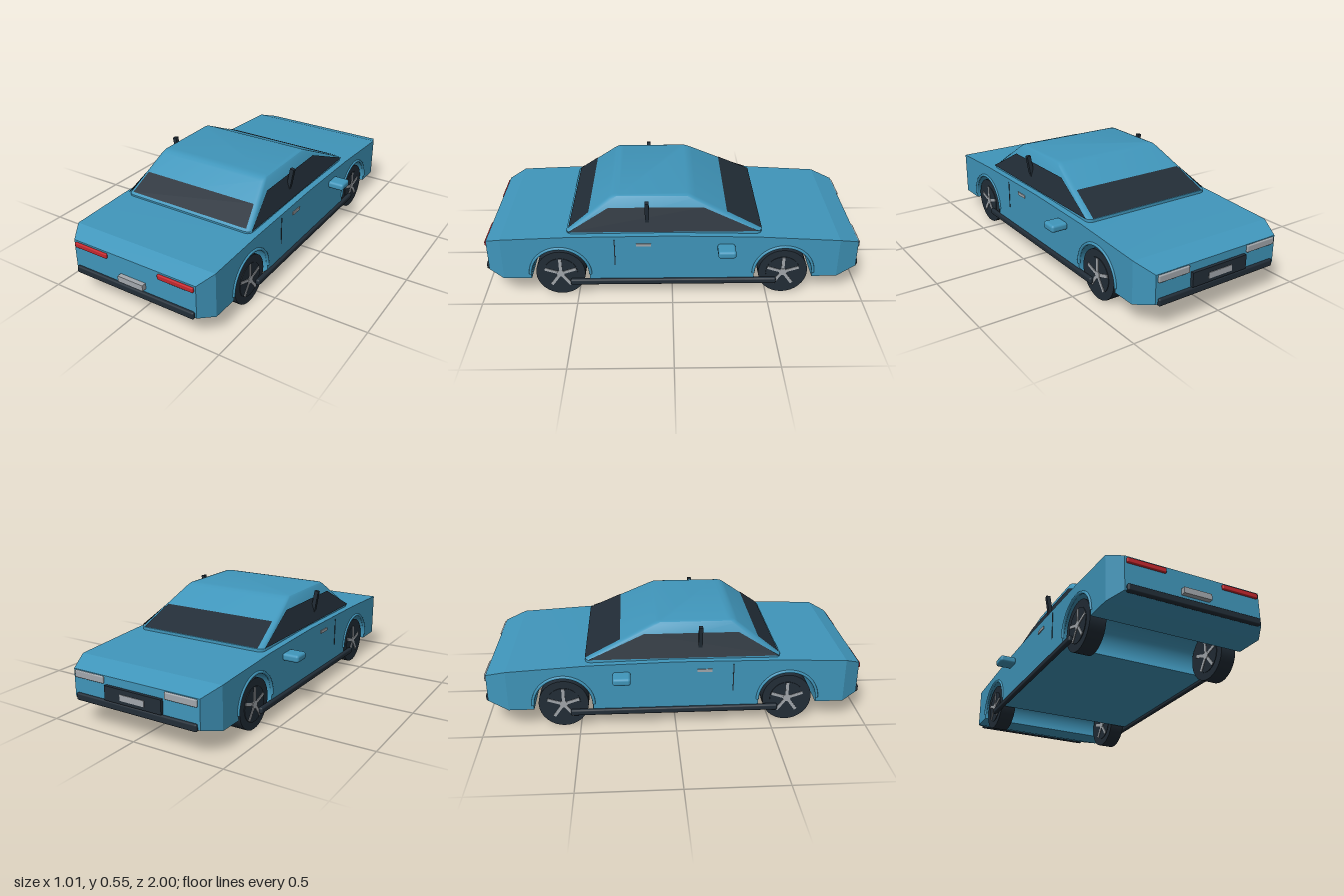
import * as THREE from 'three';
import { toCreasedNormals } from 'three/addons/utils/BufferGeometryUtils.js';
import { RoundedBoxGeometry } from 'three/addons/geometries/RoundedBoxGeometry.js';

const HALF = 0.415; // half width of the body
const AXLES = [0.59, -0.585];
const WHEEL_Y = 0.13;

export function createModel() {
  const car = new THREE.Group();
  car.name = 'car';

  const paint = new THREE.MeshStandardMaterial({ color: 0x4096bb });
  const dark = new THREE.MeshStandardMaterial({ color: 0x222d37, side: THREE.DoubleSide });
  const silver = new THREE.MeshStandardMaterial({ color: 0xa3a8ad });
  const red = new THREE.MeshStandardMaterial({ color: 0xc4272e });
  paint.name = 'blue paint';
  dark.name = 'dark trim';
  silver.name = 'silver';
  red.name = 'red lamp';

  function add(name, geometry, material, x = 0, y = 0, z = 0, parent = car) {
    const mesh = new THREE.Mesh(geometry, material);
    mesh.name = name;
    mesh.position.set(x, y, z);
    parent.add(mesh);
    return mesh;
  }
  // Box given by its limits, with optional rounded edges
  function block(name, material, [x0, x1], [y0, y1], [z0, z1], r = 0) {
    const size = [Math.abs(x1 - x0), y1 - y0, z1 - z0];
    const g = r ? new RoundedBoxGeometry(...size, 3, r) : new THREE.BoxGeometry(...size);
    return add(name, g, material, (x0 + x1) / 2, (y0 + y1) / 2, (z0 + z1) / 2);
  }
  // Flat four-cornered pane
  function pane(name, corners) {
    const g = new THREE.BufferGeometry();
    g.setAttribute('position', new THREE.Float32BufferAttribute(corners.flat(), 3));
    g.setIndex([0, 1, 2, 0, 2, 3]);
    g.computeVertexNormals();
    return add(name, g, dark);
  }

  // Main body: side profile with wheel wells, extruded across the car
  const wellR = 0.155;
  const profile = new THREE.Shape();
  profile.moveTo(-0.87, 0.105);
  for (const z of [...AXLES].reverse()) {
    const low = [0.105, 0.085];
    const [yA, yB] = z < 0 ? low : low.reverse();
    const a = Math.asin((yA - WHEEL_Y) / wellR);
    const b = Math.asin((yB - WHEEL_Y) / wellR);
    for (let i = 0; i <= 28; i++) {
      const t = Math.PI - a + (b - Math.PI + a) * (i / 28);
      profile.lineTo(z + wellR * Math.cos(t), WHEEL_Y + wellR * Math.sin(t));
    }
  }
  [[0.89, 0.105], [0.89, 0.342], [0.55, 0.355], [0, 0.36], [-0.45, 0.35], [-0.87, 0.325]]
    .forEach(([z, y]) => profile.lineTo(z, y));
  const bodyGeo = new THREE.ExtrudeGeometry(profile, { depth: 2 * HALF, bevelEnabled: false });
  bodyGeo.rotateY(-Math.PI / 2).translate(HALF, 0, 0);
  add('body', toCreasedNormals(bodyGeo, 0.4), paint);

  // Tapered nose and tail
  function taperedEnd(name, zIn, zOut, yIn, yOut, xOut) {
    const g = new THREE.BoxGeometry(2, 1, 1);
    const p = g.attributes.position;
    const zMin = Math.min(zIn, zOut), zMax = Math.max(zIn, zOut);
    for (let i = 0; i < p.count; i++) {
      const z = p.getZ(i) > 0 ? zMax : zMin;
      const outer = z === zOut;
      const y = (outer ? yOut : yIn)[p.getY(i) > 0 ? 1 : 0];
      p.setXYZ(i, p.getX(i) * (outer ? xOut : HALF), y, z);
    }
    g.computeVertexNormals();
    add(name, g, paint);
  }
  taperedEnd('tail', 0.89, 0.975, [0.105, 0.342], [0.13, 0.305], 0.365);
  taperedEnd('nose', -0.87, -0.98, [0.105, 0.325], [0.14, 0.288], 0.37);

  // Cabin: stacked rounded rectangles [y, half width, z min, z max, corner radius]
  const levels = [
    [0.34, 0.38, -0.465, 0.55, 0.03], [0.365, 0.38, -0.465, 0.55, 0.03],
    [0.53, 0.325, -0.121, 0.33, 0.025], [0.541, 0.317, -0.098, 0.313, 0.022],
    [0.545, 0.303, -0.075, 0.292, 0.02],
  ];
  const seg = 3, ring = 4 * (seg + 1), pos = [], idx = [];
  for (const [y, w, z0, z1, r] of levels) {
    for (let c = 0; c < 4; c++) {
      const cx = (c === 0 || c === 3 ? 1 : -1) * (w - r);
      const cz = c < 2 ? z1 - r : z0 + r;
      for (let i = 0; i <= seg; i++) {
        const t = (c + i / seg) * Math.PI / 2;
        pos.push(cx + r * Math.cos(t), y, cz + r * Math.sin(t));
      }
    }
  }
  for (let l = 0; l < levels.length - 1; l++) {
    for (let i = 0; i < ring; i++) {
      const a = l * ring + i, b = l * ring + (i + 1) % ring;
      idx.push(a, a + ring, b, b, a + ring, b + ring);
    }
  }
  const top = (levels.length - 1) * ring;
  for (let i = 1; i < ring - 1; i++) idx.push(top, top + i + 1, top + i);
  const cabin = new THREE.BufferGeometry();
  cabin.setAttribute('position', new THREE.Float32BufferAttribute(pos, 3));
  cabin.setIndex(idx);
  add('cabin', toCreasedNormals(cabin, 0.6), paint);

  // Front and rear glass, lying just above the sloped cabin faces
  const rearZ = (y) => 0.555 - (y - 0.365) * 1.333;
  const frontZ = (y) => -0.473 + (y - 0.365) * 2.085;
  for (const [name, zAt, y0] of [['rearWindow', rearZ, 0.376], ['windscreen', frontZ, 0.368]]) {
    pane(name, [[-0.353, y0, zAt(y0)], [0.353, y0, zAt(y0)],
      [0.33, 0.456, zAt(0.456)], [-0.33, 0.456, zAt(0.456)]]);
  }

  // Parts repeated on both sides
  for (const s of [1, -1]) {
    const side = s > 0 ? 'left' : 'right';
    const xAt = (y) => s * (0.385 - (y - 0.365) * 0.333);
    pane(side + 'SideWindow', [[xAt(0.367), 0.367, 0.54], [xAt(0.367), 0.367, -0.45],
      [xAt(0.488), 0.488, -0.16], [xAt(0.488), 0.488, 0.33]]);

    const pillar = block(side + 'Pillar', dark, [s * 0.353, s * 0.375], [0.375, 0.535], [0.12, 0.141]);
    pillar.rotation.z = -0.17 * s;

    block(side + 'Mirror', paint, [s * 0.41, s * 0.503], [0.272, 0.312], [-0.325, -0.233], 0.014);
    block(side + 'Sill', dark, [s * 0.405, s * 0.43], [0.067, 0.1], [-0.55, 0.54], 0.01);
    block(side + 'DoorHandle', silver, [s * 0.41, s * 0.42], [0.3, 0.316], [0.112, 0.188]);
    block(side + 'DoorSeam', dark, [s * 0.412, s * 0.417], [0.185, 0.338], [0.298, 0.303]);
    block(side + 'TailLight', red, [s * 0.153, s * 0.355], [0.27, 0.296], [0.968, 0.986], 0.005);
    block(side + 'Headlight', silver, [s * 0.18, s * 0.358], [0.248, 0.284], [-0.99, -0.97], 0.005);

    for (const z of AXLES) {
      const end = z > 0 ? 'Rear' : 'Front';
      // Wheel arch lip
      const lip = new THREE.TorusGeometry(0.158, 0.008, 8, 32, Math.PI).rotateY(Math.PI / 2);
      add(side + end + 'ArchLip', lip, paint, s * 0.415, WHEEL_Y, z);

      // Wheel with five spokes visible on both faces
      const wheel = new THREE.Group();
      wheel.name = side + end + 'Wheel';
      wheel.position.set(s * 0.3635, WHEEL_Y, z);
      car.add(wheel);
      const disc = (r, w) => new THREE.CylinderGeometry(r, r, w, 32).rotateZ(Math.PI / 2);
      add('tyre', disc(0.13, 0.083), dark, 0, 0, 0, wheel);
      add('rim', disc(0.09, 0.089), dark, 0, 0, 0, wheel);
      add('hub', disc(0.02, 0.098), silver, 0, 0, 0, wheel);
      for (let i = 0; i < 5; i++) {
        const spoke = new THREE.BoxGeometry(0.095, 0.085, 0.016).translate(0, 0.0445, 0);
        add('spoke', spoke, silver, 0, 0, 0, wheel).rotation.x = i * Math.PI * 2 / 5;
      }
    }
  }

  // Bumpers, grille and blank plates
  block('rearBumper', dark, [-0.356, 0.356], [0.124, 0.162], [0.962, 0.99], 0.009);
  block('frontBumper', dark, [-0.356, 0.356], [0.13, 0.168], [-0.993, -0.965], 0.009);
  block('grille', dark, [-0.167, 0.167], [0.172, 0.246], [-0.997, -0.97]);
  block('rearPlate', silver, [-0.075, 0.075], [0.181, 0.212], [0.97, 1]);
  block('frontPlate', silver, [-0.072, 0.072], [0.19, 0.221], [-1, -0.99]);

  return car;
}
